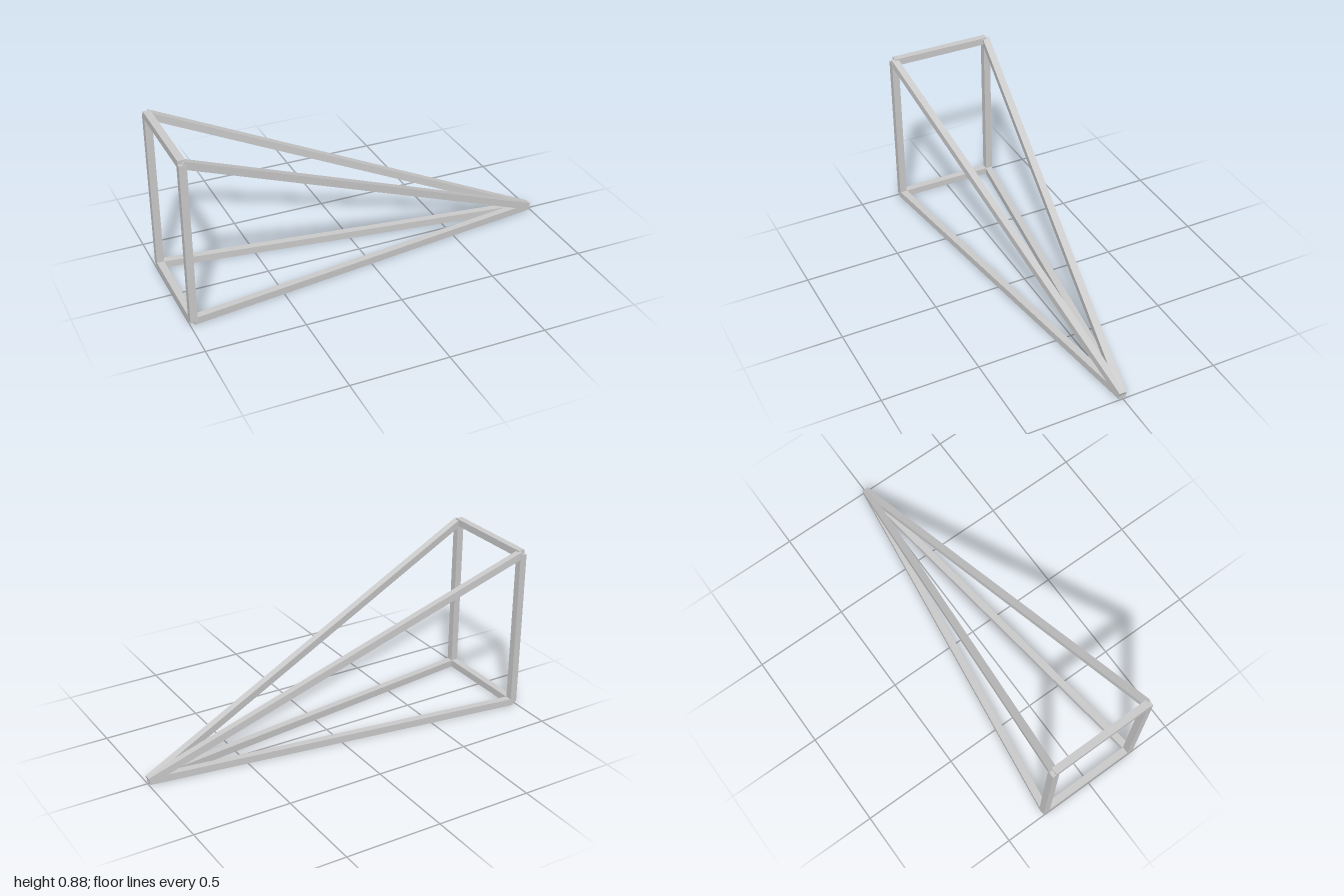
import * as THREE from 'three';

const T = 0.037; // thickness of the square bars

export function createModel() {
  const model = new THREE.Group();
  model.name = 'wedgeFrame';
  const material = new THREE.MeshStandardMaterial({ color: 0xcccccc, flatShading: true });

  // Square bar running from one joint centre to another
  function bar(name, from, to) {
    const mesh = new THREE.Mesh(new THREE.BoxGeometry(T, T, from.distanceTo(to)), material);
    mesh.name = name;
    mesh.position.copy(from).lerp(to, 0.5);
    mesh.lookAt(to);
    model.add(mesh);
  }

  const low = T / 2, high = 0.858, back = -0.981, half = 0.266;
  const apex = new THREE.Vector3(0.992, low, 0);
  const joint = (y, side) => new THREE.Vector3(back, y, side * half);

  // Upright, floor bar and sloping bar on each side
  for (const [label, side] of [['front', 1], ['rear', -1]]) {
    bar(label + 'Upright', joint(low, side), joint(high, side));
    bar(label + 'FloorBar', joint(low, side), apex);
    bar(label + 'SlopingBar', joint(high, side), apex);
  }

  // Crossbars closing the upright rectangle
  bar('lowerCrossbar', joint(low, -1), joint(low, 1));
  bar('upperCrossbar', joint(high, -1), joint(high, 1));

  return model;
}
